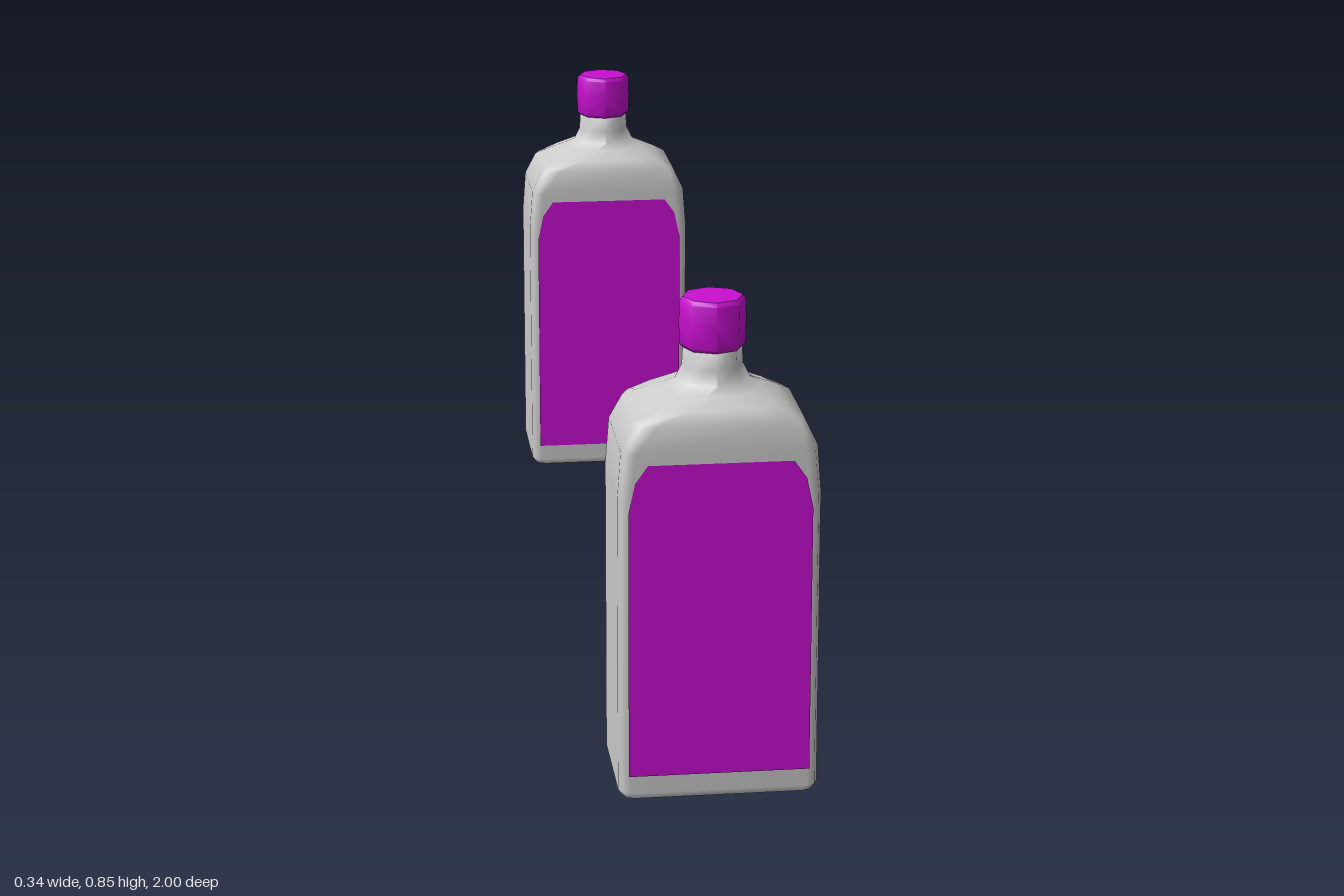
import * as THREE from 'three';
import { mergeVertices, toCreasedNormals } from 'three/addons/utils/BufferGeometryUtils.js';

const glass = new THREE.MeshStandardMaterial({ color: 0xcccccc });
const accent = new THREE.MeshStandardMaterial({ color: 0xc80fd0 });

// Rounded-rectangle sections up the bottle: [y, half width, half depth, corner radius]
const SECTIONS = [
  [0, 0.15, 0.1, 0.015], [0.004, 0.16, 0.109, 0.018], [0.016, 0.168, 0.115, 0.02],
  [0.53, 0.168, 0.115, 0.02], [0.61, 0.162, 0.115, 0.022], [0.655, 0.141, 0.113, 0.035],
  [0.676, 0.11, 0.1, 0.055], [0.693, 0.08, 0.078, 0.06], [0.704, 0.062, 0.062, 0.06],
  [0.728, 0.051, 0.051, 0.051], [0.765, 0.049, 0.049, 0.049],
];

// Counter-clockwise ring seen from +z towards +x, three points per corner
function ring([y, hx, hz, r]) {
  const points = [];
  for (let corner = 0; corner < 4; corner++) {
    const sx = corner < 2 ? 1 : -1;
    const sz = corner === 0 || corner === 3 ? 1 : -1;
    for (let i = 0; i < 3; i++) {
      const a = corner * Math.PI / 2 + i * Math.PI / 4;
      points.push([sx * (hx - r) + r * Math.sin(a), y, sz * (hz - r) + r * Math.cos(a)]);
    }
  }
  return points;
}

function bodyGeometry() {
  const n = 12, positions = [], index = [];
  SECTIONS.forEach((s) => ring(s).forEach((p) => positions.push(...p)));
  for (let j = 0; j < SECTIONS.length - 1; j++) {
    for (let i = 0; i < n; i++) {
      const a = j * n + i, b = j * n + (i + 1) % n;
      index.push(a, b, b + n, a, b + n, a + n);
    }
  }
  // Close the base and the mouth
  const top = (SECTIONS.length - 1) * n;
  for (let i = 1; i < n - 1; i++) {
    index.push(0, i + 1, i, top, top + i, top + i + 1);
  }
  const geometry = new THREE.BufferGeometry();
  geometry.setAttribute('position', new THREE.Float32BufferAttribute(positions, 3));
  geometry.setIndex(index);
  const merged = mergeVertices(geometry, 1e-5);
  merged.computeVertexNormals();
  return merged;
}

// Octagonal screw cap with softened rims
function capGeometry() {
  const profile = [[0, 0.757], [0.05, 0.757], [0.055, 0.762], [0.056, 0.8],
    [0.055, 0.836], [0.05, 0.843], [0, 0.845]].map(([x, y]) => new THREE.Vector2(x, y));
  return toCreasedNormals(new THREE.LatheGeometry(profile, 8), 0.9);
}

// Flat label with clipped upper corners
function labelGeometry() {
  const right = [[0.152, 0.047], [0.152, 0.51], [0.141, 0.562], [0.12, 0.592]];
  const left = right.map(([x, y]) => [-x, y]).reverse();
  return new THREE.ShapeGeometry(new THREE.Shape([...right, ...left].map(([x, y]) => new THREE.Vector2(x, y))));
}

export function createModel() {
  const model = new THREE.Group();
  model.name = 'bottlePair';
  const parts = [
    ['body', bodyGeometry(), glass, 0],
    ['cap', capGeometry(), accent, 0],
    ['label', labelGeometry(), accent, 0.117],
  ];
  // Two identical bottles, both facing the front
  for (const [name, z] of [['frontBottle', 0.883], ['backBottle', -0.885]]) {
    const bottle = new THREE.Group();
    bottle.name = name;
    bottle.position.z = z;
    for (const [part, geometry, material, offset] of parts) {
      const mesh = new THREE.Mesh(geometry, material);
      mesh.name = part;
      mesh.position.z = offset;
      bottle.add(mesh);
    }
    model.add(bottle);
  }
  return model;
}
